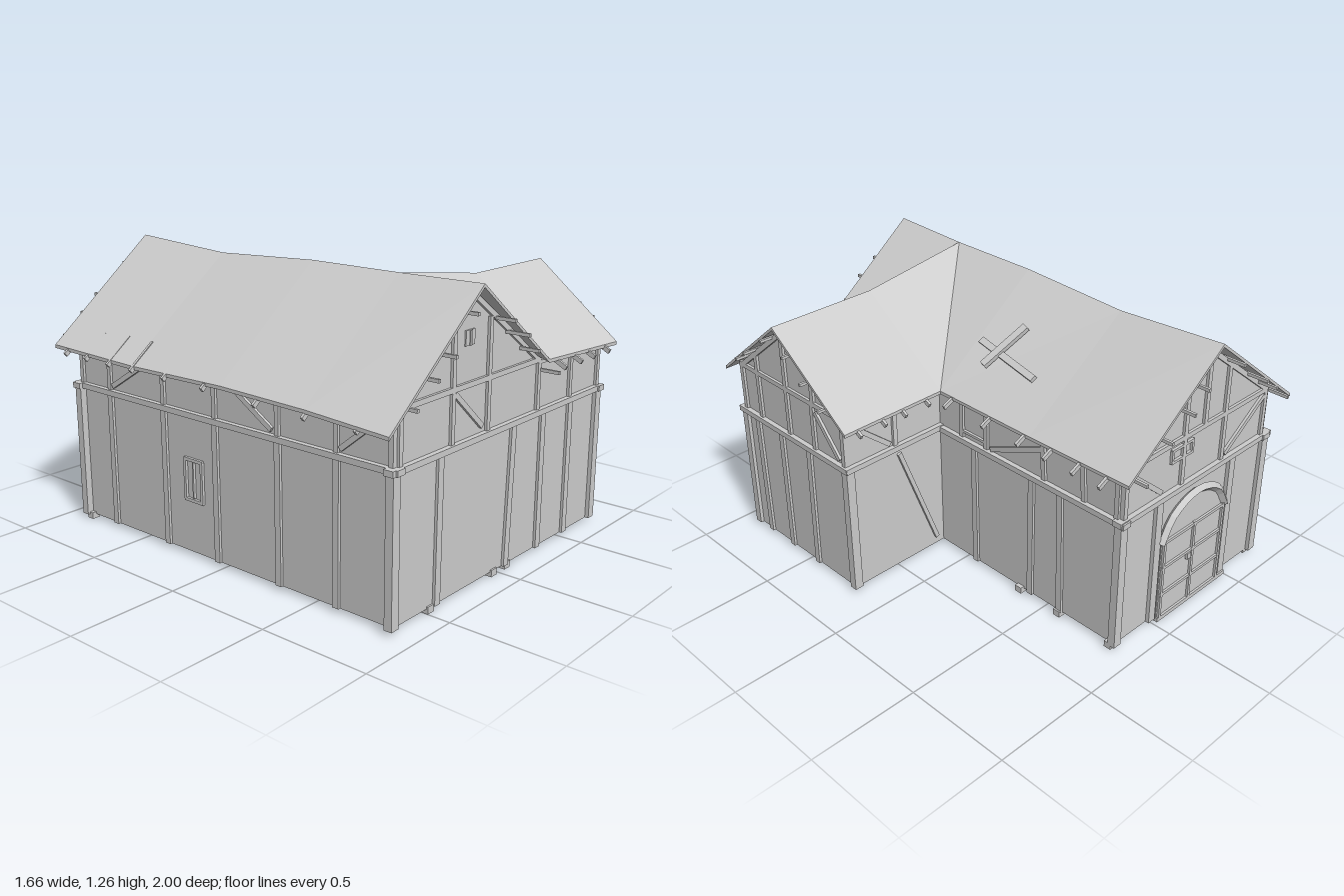
import * as THREE from 'three';

const stone = new THREE.MeshStandardMaterial({ color: 0xcccccc, side: THREE.DoubleSide, flatShading: true });
stone.name = 'plain grey';
const V = (x, y, z) => new THREE.Vector3(x, y, z);

function mesh(name, geo, parent) {
  const m = new THREE.Mesh(geo, stone);
  m.name = name;
  parent.add(m);
  return m;
}

function box(name, parent, w, h, d, x, y, z) {
  const m = mesh(name, new THREE.BoxGeometry(w, h, d), parent);
  m.position.set(x, y, z);
  return m;
}

// Timber from a to b: w wide across the surface, d deep along its normal
function beam(name, parent, a, b, w, d, normal) {
  const dir = b.clone().sub(a), len = dir.length();
  dir.normalize();
  const side = dir.clone().cross(normal).normalize();
  const m = mesh(name, new THREE.BoxGeometry(w, len, d), parent);
  m.quaternion.setFromRotationMatrix(new THREE.Matrix4().makeBasis(side, dir, side.clone().cross(dir)));
  m.position.copy(a).add(b).multiplyScalar(0.5);
  return m;
}

// One wall: outline and timbers in (u, y), where toWorld places them
function wall(name, parent, toWorld, normal, outline, timbers) {
  const g = new THREE.Group();
  g.name = name;
  parent.add(g);
  const geo = new THREE.ShapeGeometry(new THREE.Shape(outline.map(p => new THREE.Vector2(...p))));
  const pos = geo.attributes.position;
  const flip = toWorld(1, 0).sub(toWorld(0, 0)).cross(V(0, 1, 0)).dot(normal) < 0;
  for (let i = 0; i < pos.count; i++) {
    const p = toWorld(pos.getX(i), pos.getY(i));
    pos.setXYZ(i, p.x, p.y, p.z);
  }
  if (flip) geo.index.array.reverse();
  geo.computeVertexNormals();
  mesh(name + 'Panel', geo, g);
  for (const [u1, y1, u2, y2, w = 0.022, d = 0.024] of timbers)
    beam(name + 'Timber', g, toWorld(u1, y1), toWorld(u2, y2), w, d, normal);
  return g;
}

const posts = (list, y0, y1, w, d) => list.map(([a, b = a]) => [a, y0, b, y1, w, d]);

// Roof shell: faces over named points, repeated lower down, with a rim
function roofShell(parent, pts, faces, rim, t) {
  const out = [];
  const top = k => pts[k], low = k => [pts[k][0], pts[k][1] - t, pts[k][2]];
  for (const f of faces)
    for (let i = 1; i < f.length - 1; i++) {
      const [a, b, c] = [f[0], f[i], f[i + 1]];
      out.push(...top(a), ...top(b), ...top(c), ...low(a), ...low(c), ...low(b));
    }
  rim.forEach((a, i) => {
    const b = rim[(i + 1) % rim.length];
    out.push(...low(a), ...low(b), ...top(b), ...low(a), ...top(b), ...top(a));
  });
  const geo = new THREE.BufferGeometry();
  geo.setAttribute('position', new THREE.Float32BufferAttribute(out, 3));
  geo.computeVertexNormals();
  mesh('roof', geo, parent);
}

export function createModel() {
  const model = new THREE.Group();
  model.name = 'timberFramedBarn';
  const X = V(1, 0, 0), Z = V(0, 0, 1), nX = V(-1, 0, 0), nZ = V(0, 0, -1);

  // Front wall with the main gable
  wall('frontWall', model, (u, y) => V(u, y, 0.89), Z,
    [[-0.71, 0.02], [0.755, 0.02], [0.755, 0.85], [0.25, 0.85], [-0.265, 1.235], [-0.71, 0.87]], [
      [-0.75, 0.64, 0.775, 0.64, 0.025, 0.045],
      ...posts([[-0.445, -0.44], [0.04, 0.065], [0.29], [0.515]], 0.02, 0.63, 0.035),
      ...posts([[-0.37]], 0.65, 1.13), ...posts([[-0.13]], 0.65, 1.11),
      ...posts([[-0.69], [0.24], [0.505], [0.745]], 0.65, 0.86),
      [-0.70, 0.867, 0.25, 0.867], [0.25, 0.855, 0.755, 0.855, 0.015],
      [-0.36, 0.85, -0.17, 0.68], [-0.70, 0.87, -0.265, 1.222], [0.24, 0.865, -0.265, 1.222],
      [-0.295, 1.05, -0.235, 1.05, 0.06, 0.012], [-0.265, 1.02, -0.265, 1.08, 0.012, 0.022],
    ]);

  // Back wall with its gable, high window and corner braces
  const back = wall('backWall', model, (u, y) => V(u, y, -0.89), nZ,
    [[-0.71, 0.02], [0.235, 0.02], [0.235, 0.86], [-0.26, 1.225], [-0.71, 0.87]], [
      [-0.75, 0.64, 0.265, 0.64, 0.025, 0.045],
      ...posts([[-0.48], [0.01]], 0.02, 0.63, 0.04, 0.035),
      ...posts([[-0.69], [-0.4], [-0.13], [0.225]], 0.65, 0.87),
      ...posts([[-0.4], [-0.13]], 0.87, 1.1),
      [-0.70, 0.875, 0.235, 0.875], [-0.26, 0.87, -0.26, 1.21],
      [-0.68, 0.85, -0.42, 0.67], [0.21, 0.85, 0.0, 0.67],
      [-0.70, 0.87, -0.26, 1.212], [0.235, 0.86, -0.26, 1.212],
      [-0.19, 0.84, -0.05, 0.84, 0.012], [-0.19, 0.785, -0.05, 0.785, 0.012],
      [-0.185, 0.79, -0.185, 0.84, 0.012], [-0.055, 0.79, -0.055, 0.84, 0.012],
    ]);

  // Arched door in the back wall
  const doorShape = new THREE.Shape();
  doorShape.moveTo(-0.215, 0.02).lineTo(0.215, 0.02).lineTo(0.215, 0.42);
  doorShape.quadraticCurveTo(0.16, 0.565, 0, 0.57).quadraticCurveTo(-0.16, 0.565, -0.215, 0.42);
  const arch = new THREE.CatmullRomCurve3([[-0.22, 0.41], [-0.15, 0.52], [0, 0.575], [0.15, 0.52], [0.22, 0.41]]
    .map(([x, y]) => V(x, y, 0)));
  const door = new THREE.Group();
  door.name = 'archedDoor';
  door.position.set(-0.235, 0, -0.905);
  back.add(door);
  mesh('doorLeaves', new THREE.ExtrudeGeometry(doorShape, { depth: 0.012, bevelEnabled: false, curveSegments: 6 }), door);
  mesh('doorArch', new THREE.TubeGeometry(arch, 14, 0.02, 4), door);
  for (const y of [0.14, 0.28, 0.41]) box('doorBand', door, 0.42, 0.014, 0.012, 0, y, -0.004);
  for (const x of [-0.2, 0, 0.2]) box('doorStile', door, 0.014, 0.4, 0.012, x, 0.22, -0.005);
  box('doorLatch', door, 0.025, 0.03, 0.012, 0.03, 0.26, -0.01);
  box('doorSill', model, 0.48, 0.02, 0.05, -0.26, 0.01, -0.89);

  // Long left wall
  const bays = [-0.69, -0.34, -0.03, 0.32, 0.62];
  wall('leftWall', model, (u, y) => V(-0.71, y, u), nX,
    [[-0.89, 0.02], [0.89, 0.02], [0.89, 0.87], [-0.89, 0.87]], [
      [-0.92, 0.64, 0.92, 0.64, 0.025, 0.045], [-0.89, 0.86, 0.89, 0.86],
      ...posts(bays.map(z => [z]), 0.02, 0.63, 0.03),
      ...posts([-0.88, ...bays, 0.88].map(z => [z]), 0.65, 0.86),
      [-0.67, 0.67, -0.38, 0.85], [0.0, 0.85, 0.29, 0.67], [0.64, 0.67, 0.86, 0.85],
      ...posts([[-0.215], [-0.115]], 0.26, 0.44, 0.014),
      [-0.22, 0.26, -0.11, 0.26, 0.014], [-0.22, 0.44, -0.11, 0.44, 0.014], [-0.165, 0.27, -0.165, 0.43, 0.008],
    ]);

  // Right wall of the main range
  wall('rightWall', model, (u, y) => V(0.235, y, u), X,
    [[-0.89, 0.02], [0.16, 0.02], [0.16, 0.86], [-0.89, 0.86]], [
      [-0.92, 0.635, 0.17, 0.635, 0.025, 0.045], [-0.89, 0.85, 0.16, 0.85],
      ...posts([[-0.07, -0.065], [-0.41], [-0.585, -0.57]], 0.02, 0.63, 0.03),
      ...posts([[0.01], [-0.14], [-0.48, -0.47], [-0.7, -0.685], [-0.87]], 0.65, 0.85),
      [-0.17, 0.66, -0.47, 0.79],
      [0, 0.68, -0.13, 0.68, 0.012], [0, 0.82, -0.13, 0.82, 0.012],
    ]);

  // Side wing: gable and rear wall
  wall('wingGable', model, (u, y) => V(0.755, y, u), X,
    [[0.16, 0.02], [0.89, 0.02], [0.89, 0.86], [0.55, 1.145], [0.16, 0.86]], [
      [0.14, 0.64, 0.92, 0.64, 0.025, 0.045],
      ...posts([[0.79, 0.8], [0.62], [0.43, 0.42]], 0.02, 0.63, 0.03),
      ...posts([[0.88], [0.76], [0.37], [0.17]], 0.65, 0.87), [0.55, 0.65, 0.55, 1.13],
      [0.16, 0.875, 0.89, 0.875], [0.76, 0.87, 0.76, 0.97], [0.36, 0.87, 0.36, 0.99],
      [0.89, 0.86, 0.55, 1.135], [0.16, 0.86, 0.55, 1.135], [0.35, 0.84, 0.2, 0.67],
    ]);
  wall('wingRearWall', model, (u, y) => V(u, y, 0.16), nZ,
    [[0.235, 0.02], [0.755, 0.02], [0.755, 0.86], [0.235, 0.86]], [
      [0.235, 0.64, 0.775, 0.64, 0.025, 0.045], [0.235, 0.85, 0.755, 0.85],
      ...posts([[0.5]], 0.65, 0.85), [0.28, 0.06, 0.48, 0.6, 0.02], [0.53, 0.67, 0.73, 0.84],
    ]);

  // Corner posts, standing a little proud
  for (const [x, z] of [[-0.72, 0.89], [0.75, 0.89], [0.75, 0.165], [-0.72, -0.89], [0.235, -0.89]])
    box('cornerPost', model, 0.042, 0.61, 0.036, x, 0.325, z);

  // Floor of the main range, raised floor across the front
  box('mainFloor', model, 0.94, 0.008, 1.07, -0.237, 0.024, -0.355);
  box('raisedFloor', model, 1.45, 0.008, 0.72, 0.022, 0.45, 0.525);

  // Small feet
  for (const [x, z] of [[0.06, -0.4], [0.06, -0.62], [-0.49, -0.4], [-0.49, -0.62], [0.235, -0.35], [0.235, -0.58],
    [0.235, -0.87], [-0.71, -0.87], [-0.48, 0.88], [-0.04, 0.88], [0.06, 0.88]])
    box('foot', model, 0.04, 0.03, 0.035, x, 0.015, z);

  // Roof with a sagging ridge and a hipped-in wing
  const P = {
    r0: [-0.26, 1.26, -0.95], r1: [-0.26, 1.23, -0.43], r2: [-0.26, 1.255, 0.1], r3: [-0.26, 1.255, 0.55], r4: [-0.27, 1.262, 0.955],
    l0: [-0.805, 0.83, -0.95], l1: [-0.805, 0.82, -0.43], l2: [-0.805, 0.83, 0.1], l3: [-0.815, 0.825, 0.55], l4: [-0.83, 0.81, 0.955],
    e0: [0.28, 0.855, -0.95], e1: [0.28, 0.85, -0.43], e2: [0.28, 0.852, 0.1],
    f: [0.26, 0.87, 0.935], f2: [0.8, 0.85, 0.955], w1: [0.28, 1.18, 0.55], w2: [0.8, 1.178, 0.55], b2: [0.8, 0.85, 0.1],
  };
  const faces = ['l0 l1 r1 r0', 'l1 l2 r2 r1', 'l2 l3 r3 r2', 'l3 l4 r4 r3', 'r0 r1 e1 e0', 'r1 r2 e2 e1', 'r2 r3 e2',
    'r3 r4 f', 'r3 f w1', 'w1 f f2 w2', 'r3 w1 e2', 'w1 w2 b2 e2'].map(s => s.split(' '));
  roofShell(model, P, faces, 'l0 l1 l2 l3 l4 r4 f f2 w2 b2 e2 e1 e0 r0'.split(' '), 0.015);

  // Purlin ends poking out at the gables
  const slope = x => 1.225 - 0.79 * Math.abs(x + 0.26);
  [-0.73, -0.62, -0.53, -0.37, -0.13, -0.04, 0.07, 0.22].forEach((x, i) => {
    box('purlinEnd', model, 0.012, 0.014, 0.12, x, slope(x), -0.925 - (i % 3) * 0.0075);
    box('purlinEnd', model, 0.012, 0.014, 0.12, x + 0.03, slope(x + 0.03), 0.92 + (i % 3) * 0.01);
  });
  [0.24, 0.35, 0.46, 0.61, 0.75, 0.82].forEach(z =>
    box('purlinEnd', model, 0.12, 0.012, 0.012, 0.765, 1.145 - 0.76 * Math.abs(z - 0.55), z));

  // Rafter ends under the eaves
  for (const z of [-0.84, -0.7, -0.55, -0.4, -0.2, 0.03]) {
    beam('rafterEnd', model, V(0.2, 0.875, z), V(0.325, 0.815, z), 0.012, 0.02, V(0.43, 0.9, 0));
    beam('rafterEnd', model, V(-0.69, 0.9, z - 0.02), V(-0.82, 0.8, z - 0.02), 0.012, 0.02, V(-0.62, 0.78, 0));
  }
  for (const z of [0.3, 0.55, 0.8])
    beam('rafterEnd', model, V(-0.69, 0.9, z), V(-0.825, 0.79, z), 0.012, 0.02, V(-0.62, 0.78, 0));
  for (const x of [0.33, 0.46, 0.57, 0.7]) {
    beam('rafterEnd', model, V(x, 0.875, 0.88), V(x, 0.825, 0.975), 0.012, 0.02, V(0, 0.88, 0.47));
    beam('rafterEnd', model, V(x + 0.03, 0.87, 0.17), V(x + 0.03, 0.82, 0.08), 0.012, 0.02, V(0, 0.88, -0.47));
  }

  // Crossed boards patching the main roof
  const onRoof = (x, z, up) => V(x, 1.235 - 0.735 * (x + 0.26) + up, z);
  const tilt = V(0.6, 0.8, 0);
  beam('patchBoard', model, onRoof(0.1, -0.28, 0.015), onRoof(0.05, 0.08, 0.015), 0.03, 0.02, tilt);
  beam('patchBoard', model, onRoof(-0.05, -0.09, 0.03), onRoof(0.14, -0.02, 0.03), 0.035, 0.02, tilt);

  return model;
}
